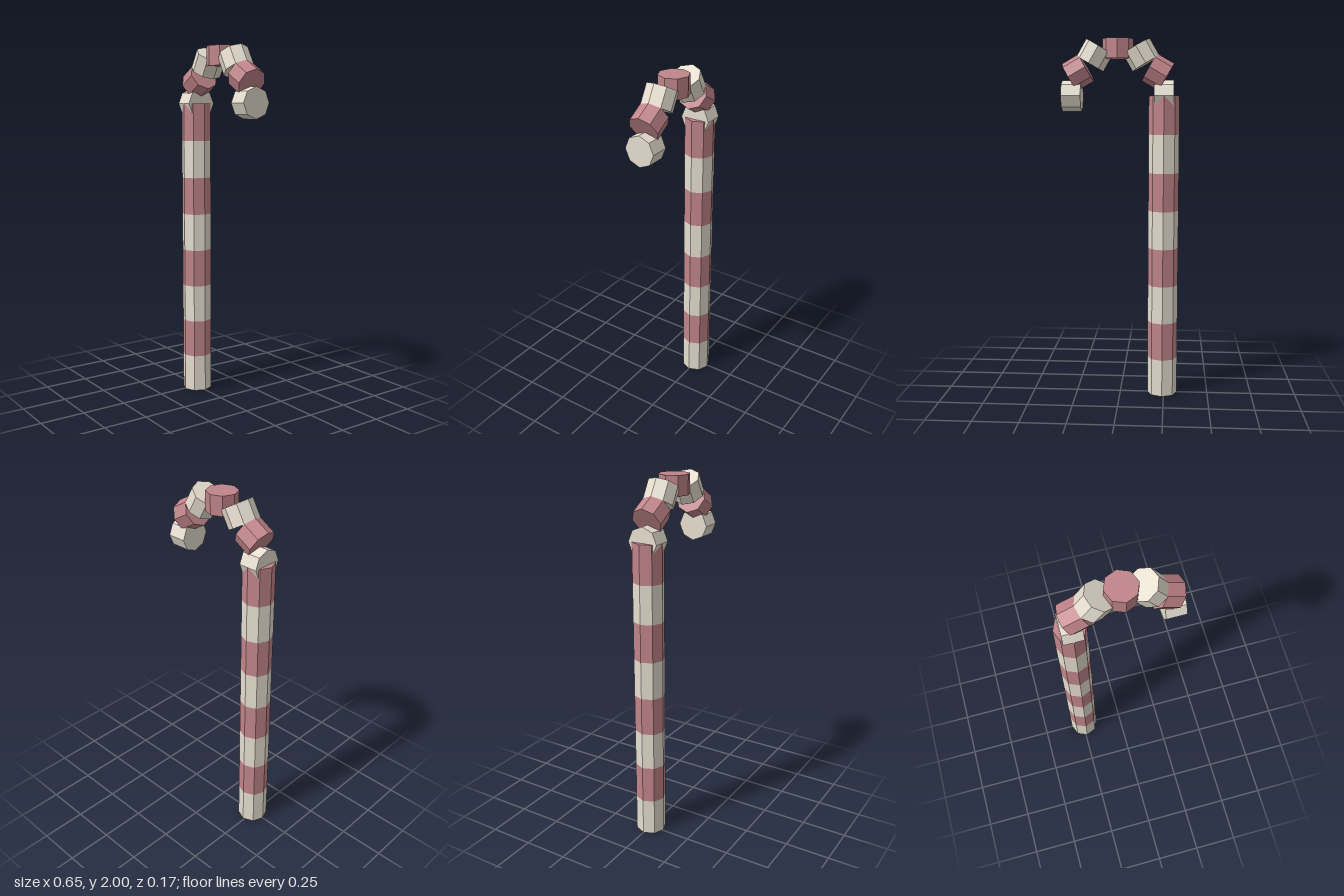
import * as THREE from 'three';

const SIDES = 8;
const RADIUS = 0.0845;

export function createModel() {
  const cream = new THREE.MeshStandardMaterial({ color: 0xe6decf, flatShading: true });
  cream.name = 'cream';
  const red = new THREE.MeshStandardMaterial({ color: 0xc0858a, flatShading: true });
  red.name = 'dustyRed';
  const group = new THREE.Group();
  group.name = 'candyCane';

  const shaftX = -0.241;
  const shaftTop = 1.692;

  // Straight shaft: stacked bands, alternating from cream at the foot
  const bands = 8;
  const bandHeight = shaftTop / bands;
  const bandGeometry = new THREE.CylinderGeometry(RADIUS, RADIUS, bandHeight, SIDES);
  for (let i = 0; i < bands; i++) {
    const band = new THREE.Mesh(bandGeometry, i % 2 ? red : cream);
    band.name = `shaftBand${i + 1}`;
    band.position.set(shaftX, (i + 0.5) * bandHeight, 0);
    group.add(band);
  }

  // Hook: short drums on a half circle, each tilted against the curve
  const hookRadius = 0.254;
  const drumGeometry = new THREE.CylinderGeometry(RADIUS, RADIUS, 0.107, SIDES);
  for (let i = 0; i < 7; i++) {
    const angle = Math.PI * (1 - i / 6);
    const drum = new THREE.Mesh(drumGeometry, i % 2 ? red : cream);
    drum.name = `hookSegment${i + 1}`;
    drum.position.set(
      shaftX + hookRadius * (1 + Math.cos(angle)),
      shaftTop + hookRadius * Math.sin(angle),
      0
    );
    drum.rotation.z = Math.PI / 2 - angle;
    group.add(drum);
  }

  return group;
}
